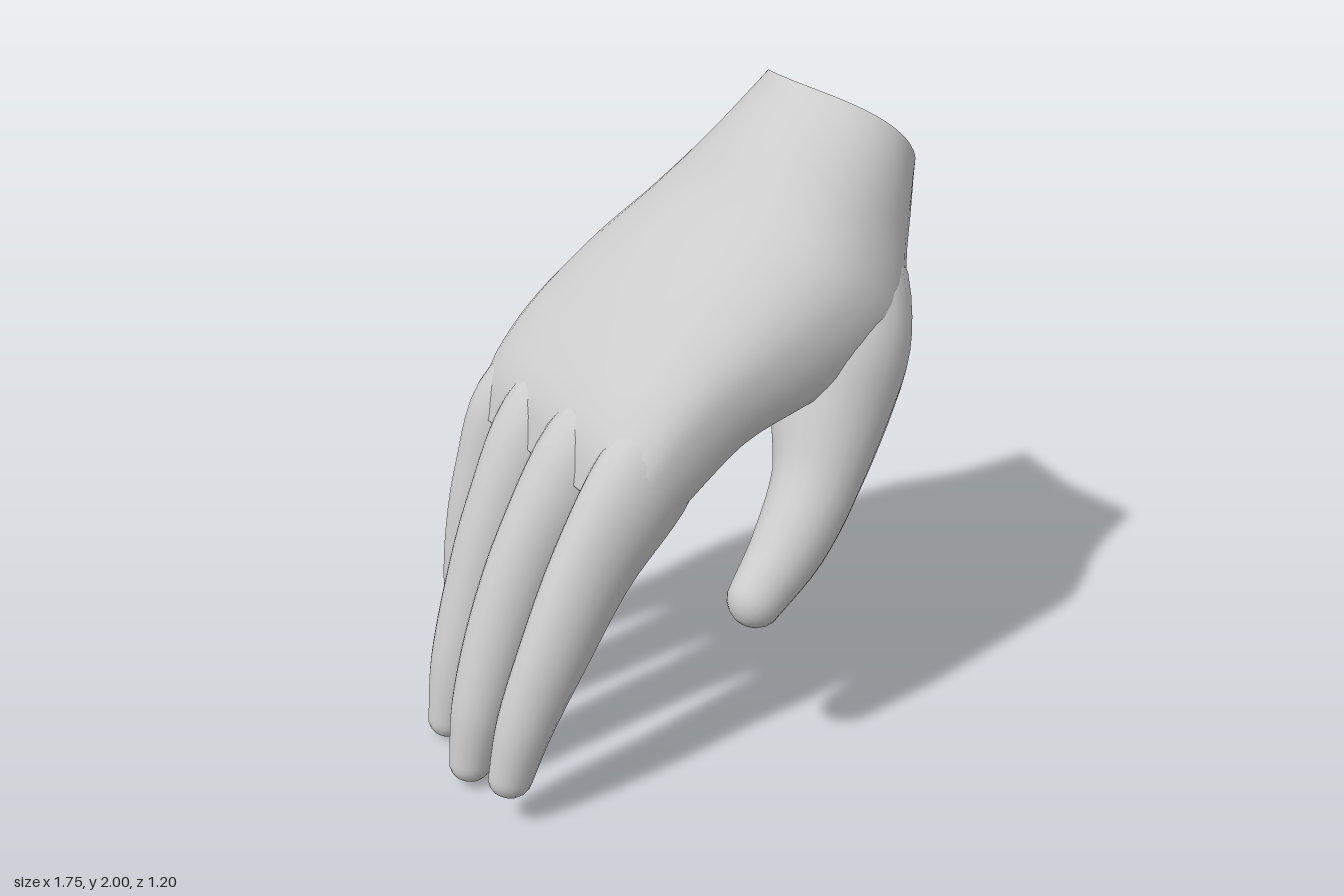
import * as THREE from 'three';

const V = (x, y, z) => new THREE.Vector3(x, y, z);
const material = new THREE.MeshStandardMaterial({ color: 0xcccccc });
const SIDES = 20;

// Skin a list of rings (equal-length arrays of Vector3); optional flat cap on the last ring
function skin(rings, name, capEnd = false) {
  const n = rings[0].length, index = [];
  const points = rings.flat();
  for (let i = 0; i < rings.length - 1; i++) {
    for (let j = 0; j < n; j++) {
      const a = i * n + j, b = i * n + (j + 1) % n;
      index.push(a, b, a + n, b, b + n, a + n);
    }
  }
  if (capEnd) {
    const last = rings[rings.length - 1], start = points.length;
    points.push(...last);
    for (let j = 1; j < n - 1; j++) index.push(start, start + j, start + j + 1);
  }
  const geometry = new THREE.BufferGeometry().setFromPoints(points);
  geometry.setIndex(index);
  geometry.computeVertexNormals();
  const mesh = new THREE.Mesh(geometry, material);
  mesh.name = name;
  return mesh;
}

// Digit: stations of [x, y, z, half depth, half width], ending in a rounded tip
function digit(name, stations) {
  const path = new THREE.CatmullRomCurve3(stations.map(s => V(s[0], s[1], s[2])));
  const size = new THREE.CatmullRomCurve3(stations.map(s => V(s[3], s[4], 0)));
  const rings = [];
  const addRing = (t, ahead, scale) => {
    const tangent = path.getTangent(t), radius = size.getPoint(t);
    const side = V(0, 0, -1).addScaledVector(tangent, tangent.z).normalize();
    const back = side.clone().cross(tangent);
    const centre = path.getPoint(t).addScaledVector(tangent, ahead);
    rings.push(Array.from({ length: SIDES }, (_, j) => {
      const a = j / SIDES * Math.PI * 2;
      return centre.clone()
        .addScaledVector(back, Math.cos(a) * radius.x * scale)
        .addScaledVector(side, Math.sin(a) * radius.y * scale);
    }));
  };
  for (let i = 0; i <= 24; i++) addRing(i / 24, 0, 1);
  const tip = stations[stations.length - 1][4];
  for (let i = 1; i <= 5; i++) {
    const a = i / 5 * Math.PI / 2;
    addRing(1, Math.sin(a) * tip, Math.max(Math.cos(a), 0.001));
  }
  return skin(rings, name);
}

// Palm: stations of [back x, back y, palm x, palm y, z min, z max, hollow depth]
function palm() {
  const stations = [
    [0.51, 2.0, 0.87, 1.64, -0.45, 0.19, 0],
    [0.33, 1.86, 0.82, 1.43, -0.49, 0.31, 0],
    [0.16, 1.70, 0.70, 1.20, -0.58, 0.45, 0.08],
    [-0.05, 1.54, 0.42, 1.07, -0.60, 0.475, 0.14],
    [-0.25, 1.36, 0.08, 0.99, -0.585, 0.465, 0.08],
    [-0.40, 1.20, -0.16, 0.85, -0.555, 0.475, 0.03],
    [-0.45, 1.11, -0.26, 0.80, -0.53, 0.475, 0],
    [-0.48, 0.98, -0.36, 0.83, -0.49, 0.44, 0],
  ];
  const curve = f => new THREE.CatmullRomCurve3(stations.map(f));
  const backs = curve(s => V(s[0], s[1], 0));
  const fronts = curve(s => V(s[2], s[3], 0));
  const widths = curve(s => V(s[4], s[5], s[6]));
  const rings = [], n = 40;
  for (let i = 0; i <= 35; i++) {
    const t = i / 35, d = backs.getPoint(t), p = fronts.getPoint(t), w = widths.getPoint(t);
    const half = d.clone().sub(p).multiplyScalar(0.5);
    const up = half.clone().normalize();
    const power = 1 - 0.28 * Math.min(1, t * 1.6); // round wrist, boxier knuckles
    const flare = 0.04 * Math.max(0, 1 - t * 8); // wrist cut is higher at its sides
    rings.push(Array.from({ length: n }, (_, j) => {
      const a = j / n * Math.PI * 2, c = Math.cos(a), s = Math.sin(a);
      const point = d.clone().add(p).multiplyScalar(0.5)
        .addScaledVector(half, Math.sign(c) * Math.abs(c) ** power)
        .add(V(flare * s * s, flare * s * s, 0));
      point.z = (w.x + w.y) / 2 - (w.y - w.x) / 2 * Math.sign(s) * Math.abs(s) ** power;
      if (c < 0) point.addScaledVector(up, w.z * c ** 4);
      return point;
    }));
  }
  return { body: skin(rings, 'palm', true), wristRing: rings[0] };
}

export function createModel() {
  const hand = new THREE.Group();
  hand.name = 'hand';

  const { body, wristRing } = palm();
  hand.add(body);

  // Cut at the wrist
  const rim = [...wristRing].reverse();
  const middle = rim.reduce((sum, p) => sum.add(p), V(0, 0, 0)).divideScalar(rim.length);
  hand.add(skin([rim, rim.map(p => p.clone().lerp(middle, 0.999))], 'wristCut'));

  // Four fingers, rooted inside the palm and rising gradually out of the knuckles
  hand.add(digit('indexFinger', [
    [-0.12, 1.16, 0.29, 0.10, 0.10], [-0.31, 1.00, 0.355, 0.17, 0.122],
    [-0.50, 0.78, 0.385, 0.14, 0.103], [-0.65, 0.54, 0.41, 0.115, 0.09],
    [-0.755, 0.32, 0.41, 0.09, 0.08], [-0.805, 0.155, 0.405, 0.07, 0.062]]));
  hand.add(digit('middleFinger', [
    [-0.16, 1.18, 0.11, 0.12, 0.12], [-0.34, 1.01, 0.11, 0.175, 0.14],
    [-0.54, 0.77, 0.12, 0.135, 0.11], [-0.685, 0.49, 0.13, 0.11, 0.10],
    [-0.775, 0.25, 0.145, 0.09, 0.085], [-0.815, 0.075, 0.15, 0.068, 0.062]]));
  hand.add(digit('ringFinger', [
    [-0.16, 1.18, -0.17, 0.12, 0.12], [-0.34, 1.00, -0.17, 0.175, 0.14],
    [-0.515, 0.75, -0.16, 0.13, 0.11], [-0.63, 0.48, -0.155, 0.105, 0.10],
    [-0.71, 0.24, -0.15, 0.085, 0.085], [-0.75, 0.06, -0.145, 0.065, 0.062]]));
  hand.add(digit('littleFinger', [
    [-0.17, 1.16, -0.38, 0.10, 0.09], [-0.33, 0.985, -0.41, 0.15, 0.118],
    [-0.44, 0.76, -0.43, 0.11, 0.095], [-0.50, 0.55, -0.435, 0.09, 0.085],
    [-0.53, 0.37, -0.435, 0.075, 0.075], [-0.535, 0.245, -0.435, 0.063, 0.06]]));

  // Thumb, its fleshy base growing out of the heel of the palm
  hand.add(digit('thumb', [
    [0.58, 1.55, 0.04, 0.12, 0.12], [0.545, 1.41, 0.16, 0.19, 0.21],
    [0.46, 1.24, 0.255, 0.21, 0.24], [0.375, 1.06, 0.335, 0.185, 0.19],
    [0.275, 0.875, 0.41, 0.138, 0.14], [0.145, 0.715, 0.465, 0.12, 0.115],
    [-0.005, 0.588, 0.51, 0.092, 0.086]]));
  // Skin web between the thumb and the index side of the palm
  hand.add(digit('thumbWeb', [
    [0.47, 1.30, 0.20, 0.14, 0.14], [0.32, 1.23, 0.25, 0.165, 0.16],
    [0.18, 1.22, 0.26, 0.145, 0.14], [0.02, 1.22, 0.25, 0.11, 0.12]]));
  return hand;
}
